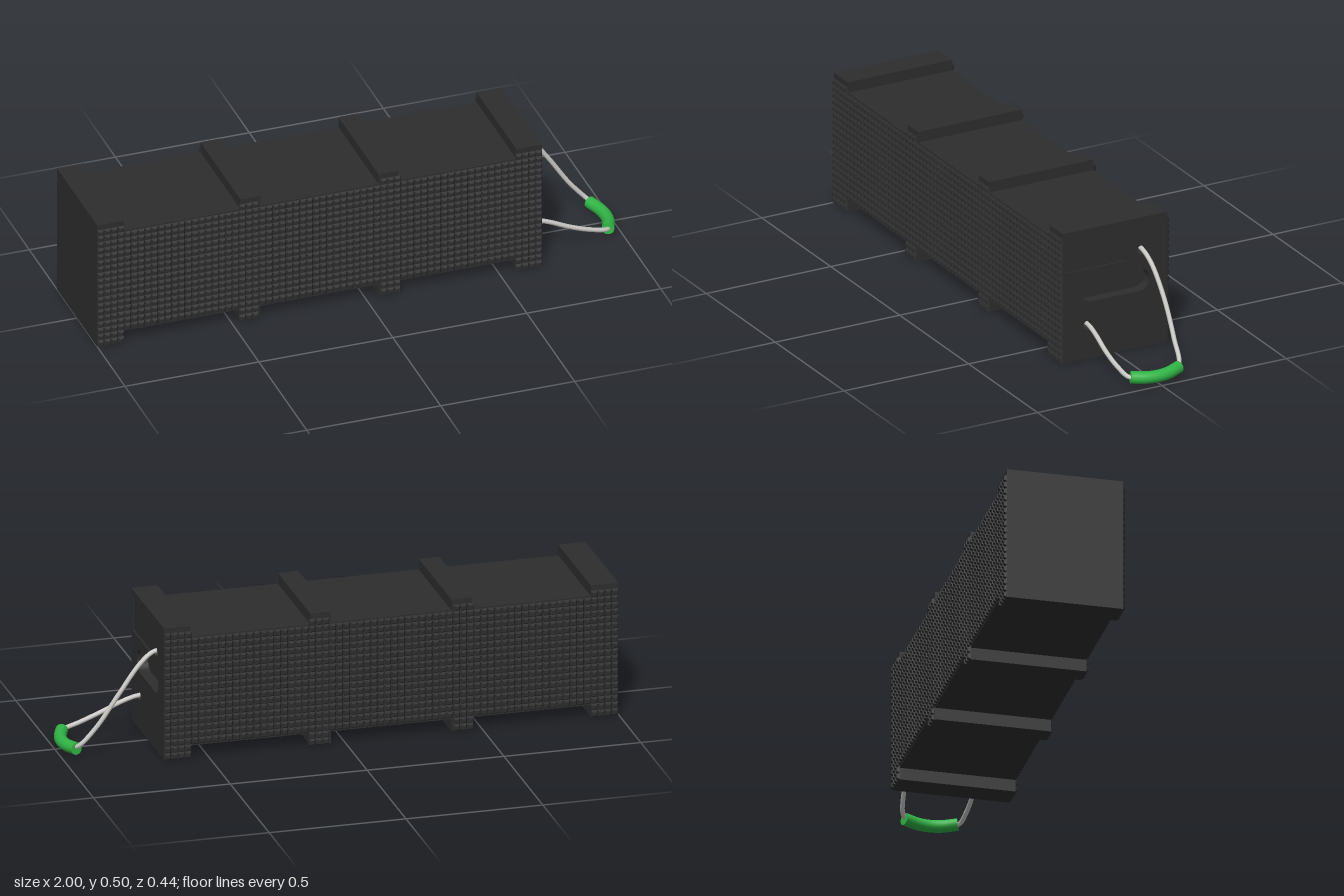
import * as THREE from 'three';
import { mergeGeometries } from 'three/addons/utils/BufferGeometryUtils.js';

const X0 = -1, X1 = 0.66, HALF_Z = 0.21, HEIGHT = 0.495;
const BODY_LOW = 0.045, BODY_HIGH = 0.455;
const PLATE = 0.04; // depth of the recessed end plate
const RIBS = [[-1, -0.9], [-0.465, -0.39], [0.05, 0.125], [0.565, 0.66]];

export function createModel() {
  const group = new THREE.Group();
  const mat = (name, color, options = {}) => {
    const m = new THREE.MeshStandardMaterial({ color, ...options });
    m.name = name;
    return m;
  };
  const charcoal = mat('charcoal', 0x2d2d2d, { flatShading: true });
  const ropeGrey = mat('rope grey', 0xc8c6c2);
  const gripGreen = mat('grip green', 0x30b445);

  const add = (name, geometry, material) => {
    const mesh = new THREE.Mesh(geometry, material);
    mesh.name = name;
    group.add(mesh);
    return mesh;
  };
  const box = (name, x0, x1, y0, y1, halfZ = HALF_Z, z = 0) =>
    add(name, new THREE.BoxGeometry(x1 - x0, y1 - y0, halfZ * 2), charcoal)
      .position.set((x0 + x1) / 2, (y0 + y1) / 2, z);

  // Long body with raised ribs around it
  box('body', X0 + 0.001, X1 - PLATE, BODY_LOW, BODY_HIGH, HALF_Z - 0.0005);
  RIBS.forEach(([a, b], i) => box('rib' + (i + 1), a, i === 3 ? X1 - PLATE : b, 0, HEIGHT));

  // End plate with label recess, hand slot and rope holes (shape x is -z)
  const face = new THREE.Shape();
  face.moveTo(-HALF_Z, 0).lineTo(HALF_Z, 0).lineTo(HALF_Z, HEIGHT).lineTo(-HALF_Z, HEIGHT).closePath();
  const label = new THREE.Path();
  label.moveTo(-0.194, 0.342).lineTo(-0.194, 0.468).lineTo(0.047, 0.468).lineTo(0.047, 0.342).closePath();
  const slot = new THREE.Path();
  slot.absarc(0.097, 0.257, 0.042, Math.PI / 2, -Math.PI / 2, true);
  slot.absarc(-0.097, 0.257, 0.042, -Math.PI / 2, -Math.PI * 1.5, true);
  slot.closePath();
  const ropeHole = (u, y) => new THREE.Path().absarc(u, y, 0.018, 0, Math.PI * 2, true);
  face.holes.push(label, slot, ropeHole(-0.109, 0.127), ropeHole(0.107, 0.37));
  const plate = new THREE.ExtrudeGeometry(face, { depth: PLATE, bevelEnabled: false, curveSegments: 16 });
  add('endPlate', plate.rotateY(Math.PI / 2).translate(X1 - PLATE, 0, 0), charcoal);
  box('labelPanel', X1 - PLATE, X1 - 0.006, 0.342, 0.468, 0.1205, 0.0735);

  // Grid of blunt pyramids on the front and back
  const cols = 66, rows = 19, px = (X1 - X0) / cols, py = 0.025, depth = 0.01;
  const stud = new THREE.CylinderGeometry(0.0065 * Math.SQRT2, 0.0124 * Math.SQRT2, depth, 4)
    .rotateY(Math.PI / 4).rotateX(Math.PI / 2).translate(0, 0, HALF_Z + depth / 2);
  const studs = [];
  for (let i = 0; i < cols; i++) {
    const x = X0 + (i + 0.5) * px;
    const onRib = RIBS.some(([a, b]) => x > a && x < b);
    for (let j = 0; j < rows; j++) {
      const y = (j + 0.5) * py;
      if (onRib || (y > BODY_LOW && y < BODY_HIGH)) studs.push(stud.clone().translate(x, y, 0));
    }
  }
  const studField = mergeGeometries(studs);
  add('frontStuds', studField, charcoal);
  const centre = (X0 + X1) / 2;
  const back = studField.clone().translate(-centre, 0, 0).rotateY(Math.PI).translate(centre, 0, 0);
  add('backStuds', back, charcoal);

  // Rope loop hanging from the end plate
  const curve = (points) => new THREE.CatmullRomCurve3(points.map((p) => new THREE.Vector3(...p)));
  const rope = curve([
    [0.62, 0.378, -0.107], [0.67, 0.372, -0.108], [0.72, 0.335, -0.115], [0.8, 0.23, -0.121],
    [0.88, 0.112, -0.115], [0.945, 0.04, -0.098], [0.97, 0.028, -0.03], [0.97, 0.028, 0.03],
    [0.945, 0.031, 0.098], [0.88, 0.048, 0.11], [0.8, 0.077, 0.113], [0.72, 0.112, 0.11],
    [0.67, 0.127, 0.108], [0.62, 0.13, 0.107],
  ]);
  add('rope', new THREE.TubeGeometry(rope, 100, 0.0085, 10), ropeGrey);

  // Curved grip sleeve with closed ends
  const gripCurve = curve([[0.947, 0.032, -0.097], [0.967, 0.028, -0.045], [0.973, 0.027, 0],
    [0.967, 0.028, 0.045], [0.947, 0.032, 0.097]]);
  add('grip', new THREE.TubeGeometry(gripCurve, 32, 0.0225, 20), gripGreen);
  [0, 1].forEach((t) => {
    const cap = add('gripEnd', new THREE.CircleGeometry(0.0225, 20), gripGreen);
    const out = gripCurve.getTangentAt(t).multiplyScalar(t ? 1 : -1);
    cap.position.copy(gripCurve.getPointAt(t));
    cap.quaternion.setFromUnitVectors(new THREE.Vector3(0, 0, 1), out);
  });

  return group;
}
